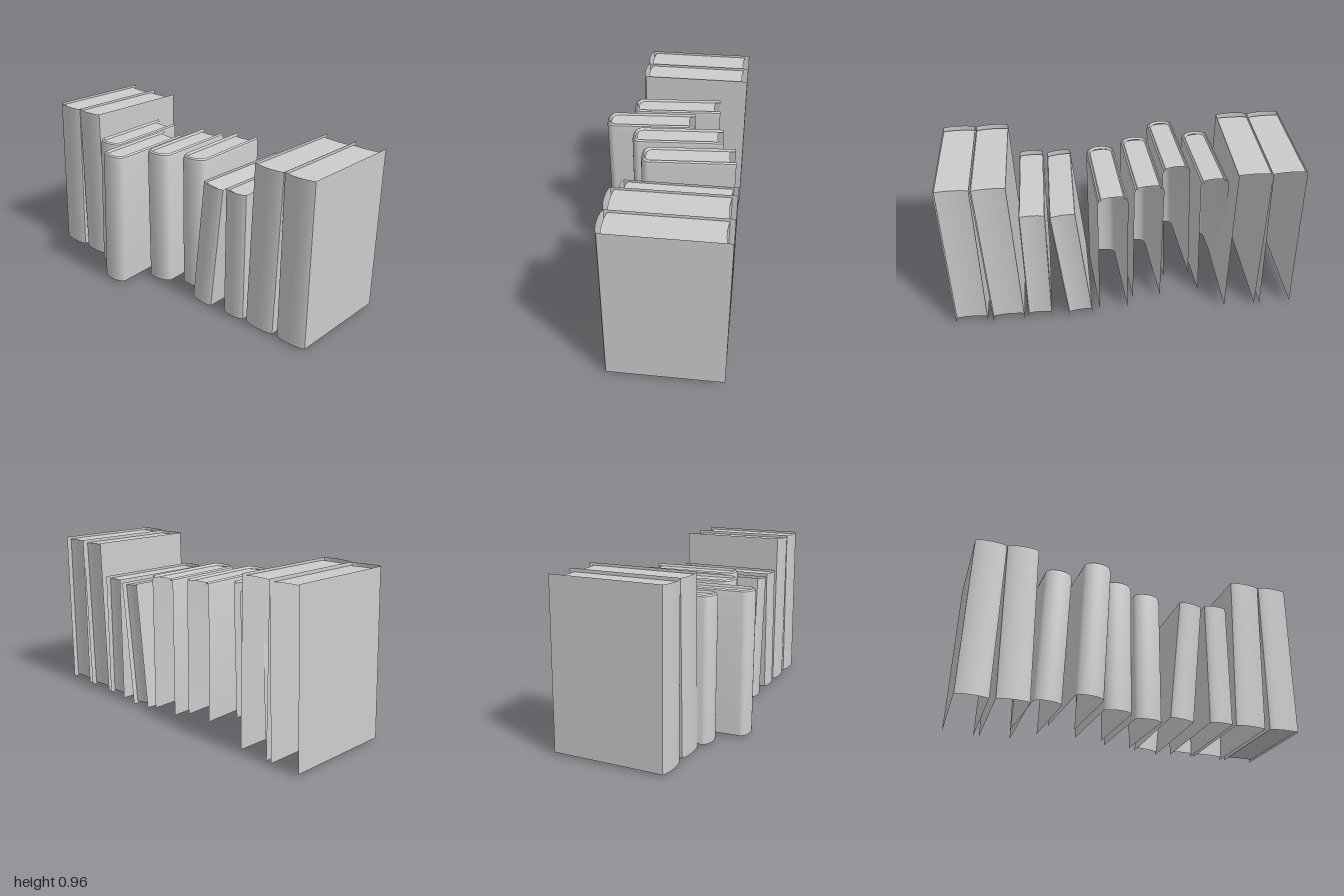
import * as THREE from 'three';
import { toCreasedNormals } from 'three/addons/utils/BufferGeometryUtils.js';

const material = new THREE.MeshStandardMaterial({ color: 0xcccccc, side: THREE.DoubleSide });

// Thin upright sheet: the plan path at each [height, inset] level, listed from the top down
function sheet(pathAt, levels) {
  const rows = levels.map(([y, inset]) => pathAt(inset).getPoints(16).map(p => [p.x, y, p.y]));
  const columns = rows[0].length;
  const geo = new THREE.PlaneGeometry(1, 1, columns - 1, rows.length - 1);
  rows.flat().forEach((p, i) => geo.attributes.position.setXYZ(i, ...p));
  return toCreasedNormals(geo, 0.6);
}

// Plan of a cover: back board, bulging spine, front board; k sets how square the spine is
function coverPath({ length, bulge, k }, thick, inset) {
  const e = length / 2, h = thick / 2 - inset;
  const s = -e + bulge + inset, c = s - bulge * 4 / 3;
  const path = new THREE.Path();
  path.moveTo(e, -h);
  path.lineTo(s, -h);
  path.bezierCurveTo(c, -h * k, c, h * k, s, h);
  path.lineTo(e, h);
  return path;
}

// Plan of the slightly hollow fore-edge
function foreEdgePath(length, h) {
  const e = length / 2 - 0.028;
  const path = new THREE.Path();
  path.moveTo(e, h);
  path.quadraticCurveTo(e - 0.016, 0, e, -h);
  return path;
}

// Outline of the page block
function pageShape({ length, bulge, k, gap }, h) {
  const e = length / 2 - 0.028, b = bulge * 0.6;
  const s = -length / 2 + gap + b, c = s - b * 4 / 3;
  const shape = new THREE.Shape();
  shape.moveTo(e, h);
  shape.lineTo(s, h);
  shape.bezierCurveTo(c, h * k, c, -h * k, s, -h);
  shape.lineTo(e, -h);
  shape.quadraticCurveTo(e - 0.016, 0, e, h);
  return shape;
}

// lip: [drop from the top edge, inset] pairs that roll the cover's top edge inwards
const kinds = {
  hardback: { length: 0.655, bulge: 0.016, k: 0.6, gap: 0.026, board: 0.002, lip: [[0, 0]] },
  rounded: {
    length: 0.538, bulge: 0.045, k: 1, gap: 0.026, board: 0.021,
    lip: [[0.014, 0.021], [0, 0.014], [0.008, 0.005], [0.03, 0]],
  },
};

function book(name, kind, { x, y, z, thick, height, lean = 0, yaw = 0, foreEdge, underside }) {
  const style = kinds[kind], h = thick / 2 - style.board;
  const top = height - 0.014, bottom = 0.012;
  const group = new THREE.Group();
  group.name = name;
  const add = (part, geo) => {
    const mesh = new THREE.Mesh(geo, material);
    mesh.name = part;
    group.add(mesh);
  };
  const levels = [...style.lip.map(([drop, inset]) => [height - drop, inset]), [0, 0]];
  add('cover', sheet(inset => coverPath(style, thick, inset), levels));
  const pages = pageShape(style, h);
  add('pageTop', new THREE.ShapeGeometry(pages).rotateX(-Math.PI / 2).translate(0, top, 0));
  if (foreEdge) add('foreEdge', sheet(() => foreEdgePath(style.length, h), [[top, 0], [bottom, 0]]));
  if (underside) add('pageUnderside', new THREE.ShapeGeometry(pages).rotateX(Math.PI / 2).translate(0, bottom, 0));
  group.position.set(x, y, z);
  group.rotation.set(lean, yaw, 0);
  return group;
}

export function createModel() {
  const model = new THREE.Group();
  model.name = 'bookRow';
  const x = 0.088, yaw = 0.066;

  // Tall volumes at both ends of the row
  const tall = { x, y: 0.011, thick: 0.183, height: 0.947 };
  [
    { z: 0.908, foreEdge: true, underside: true },
    { z: 0.692, lean: 0.029, foreEdge: true },
    { z: -0.688 },
    { z: -0.905, lean: 0.033 },
  ].forEach((place, i) => model.add(book(`tallBook${i + 1}`, 'hardback', { ...tall, ...place })));

  // Short thin volumes, one leaning
  const thin = { x, y: 0.012, thick: 0.138, height: 0.752, foreEdge: true };
  model.add(book('thinBook1', 'hardback', { ...thin, z: 0.507 }));
  model.add(book('thinBook2', 'hardback', { ...thin, y: 0.008, z: 0.266, lean: 0.106 }));

  // Medium round-backed volumes, turned slightly and pulled out unevenly
  const medium = { thick: 0.166, height: 0.814, yaw };
  [
    { x: 0.117, y: 0.02, z: 0.087 },
    { x: 0.035, y: 0.02, z: -0.12 },
    { x: -0.15, y: 0.011, z: -0.33, lean: 0.04, thick: 0.158 },
    { x: -0.01, y: 0.011, z: -0.523, lean: 0.04, thick: 0.158 },
  ].forEach((place, i) =>
    model.add(book(`mediumBook${i + 1}`, 'rounded', { ...medium, ...place })));

  return model;
}
